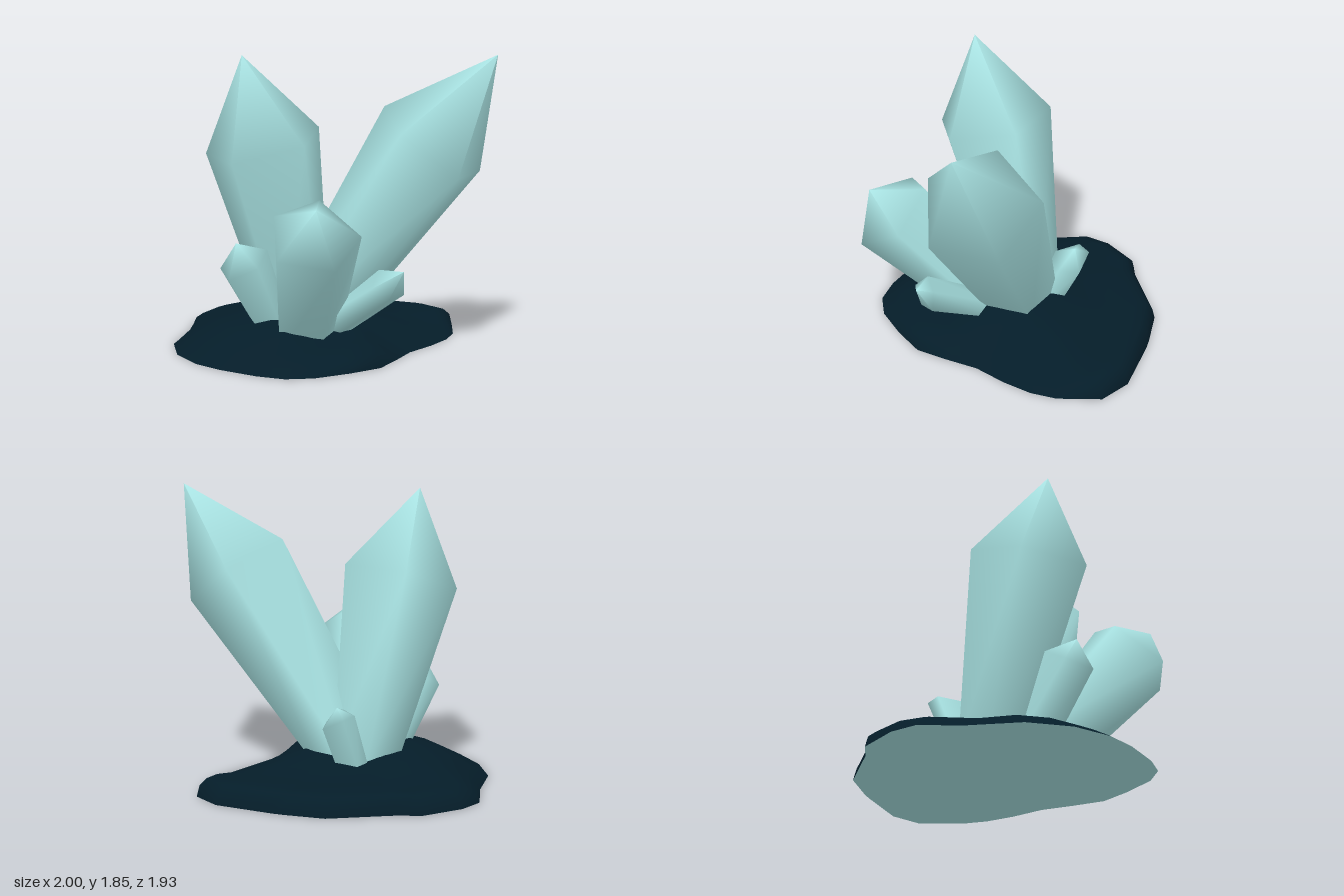
import * as THREE from 'three';

const { lerp, smoothstep } = THREE.MathUtils;

const crystalMat = new THREE.MeshStandardMaterial({ color: 0xa8e2e2 });
crystalMat.name = 'paleAquaCrystal';
const rockMat = new THREE.MeshStandardMaterial({ color: 0x051d29 });
rockMat.name = 'darkSlateRock';

// Smooth skin through stacked rings (lowest first), closed by a point on top.
// The point is repeated for each side; its normals are eased towards the axis.
function loft(name, rings, apex, material) {
  const n = rings[0].length, index = [];
  rings.forEach((ring, r) => {
    for (let i = 0; i < n; i++) {
      const a = r * n + i, b = r * n + (i + 1) % n;
      if (r < rings.length - 1) index.push(a, a + n, b, b, a + n, b + n);
      else index.push(a, a + n, b);
    }
  });
  const geo = new THREE.BufferGeometry();
  const points = [...rings.flat(), ...Array(n).fill(apex)].flat();
  geo.setAttribute('position', new THREE.Float32BufferAttribute(points, 3));
  geo.setIndex(index);
  geo.computeVertexNormals();

  const normals = geo.attributes.normal, first = rings.length * n;
  const facets = Array.from({ length: n }, (_, i) => new THREE.Vector3().fromBufferAttribute(normals, first + i));
  const mean = facets.reduce((sum, f) => sum.addScaledVector(f, 1 / n), new THREE.Vector3());
  facets.forEach((f, i) => {
    f.add(mean).normalize();
    normals.setXYZ(first + i, f.x, f.y, f.z);
  });

  const mesh = new THREE.Mesh(geo, material);
  mesh.name = name;
  return mesh;
}

// Five-sided crystal: the shoulder ring shrinks towards its buried root
function crystal({ name, tip, shoulder, root, taper }) {
  const mid = [0, 1, 2].map(k => shoulder.reduce((s, p) => s + p[k], 0) / shoulder.length);
  const base = shoulder.map(p => {
    const q = p.map((v, k) => root[k] + (v - mid[k]) * taper);
    q[1] = Math.max(q[1], 0.02);
    return q;
  });
  return loft(name, [base, shoulder], tip, crystalMat);
}

const crystals = [
  { name: 'tallCrystal', tip: [-0.13, 1.84, 0.55], root: [-0.14, 0.1, 0.07], taper: 0.55,
    shoulder: [[-0.43, 1.36, 0.17], [0, 1.38, 0.04], [0.25, 1.3, 0.38], [0, 1.2, 0.74], [-0.43, 1.22, 0.6]] },
  { name: 'leaningCrystal', tip: [1, 1.85, -0.5], root: [-0.07, 0.1, 0.08], taper: 0.66,
    shoulder: [[0.36, 1.52, -0.18], [0.39, 1.36, -0.6], [0.76, 1.12, -0.62], [0.95, 1.12, -0.22], [0.72, 1.38, 0.04]] },
  { name: 'mediumCrystal', tip: [0.68, 0.99, 0.67], root: [0.1, 0.1, 0.24], taper: 0.75,
    shoulder: [[0.32, 0.92, 0.68], [0.43, 1, 0.42], [0.72, 0.81, 0.35], [0.8, 0.65, 0.63], [0.55, 0.7, 0.86]] },
  { name: 'smallFrontCrystal', tip: [-0.04, 0.71, 0.68], root: [-0.06, 0.1, 0.35], taper: 0.65,
    shoulder: [[-0.16, 0.64, 0.53], [0.04, 0.66, 0.5], [0.12, 0.57, 0.64], [0, 0.5, 0.77], [-0.17, 0.54, 0.7]] },
  { name: 'smallSideCrystal', tip: [0.81, 0.58, 0.09], root: [0.13, 0.08, 0.15], taper: 0.8,
    shoulder: [[0.72, 0.55, 0.03], [0.74, 0.42, 0.02], [0.73, 0.4, 0.14], [0.69, 0.48, 0.24], [0.66, 0.58, 0.15]] },
  { name: 'smallBackCrystal', tip: [-0.26, 0.54, -0.24], root: [-0.22, 0.05, -0.05], taper: 0.88,
    shoulder: [[-0.36, 0.48, -0.27], [-0.22, 0.41, -0.32], [-0.13, 0.42, -0.22], [-0.19, 0.5, -0.13], [-0.36, 0.5, -0.18]] },
];

// Ground outline of the rock (x, z)
const outline = [
  [0, -0.97], [0.22, -0.96], [0.3, -0.88], [0.42, -0.76], [0.5, -0.61], [0.55, -0.42], [0.58, -0.2],
  [0.66, 0], [0.73, 0.2], [0.7, 0.42], [0.64, 0.65], [0.54, 0.79], [0.38, 0.87], [0.12, 0.94],
  [-0.09, 0.96], [-0.34, 0.91], [-0.58, 0.76], [-0.77, 0.5], [-0.97, 0.3], [-1, 0.13],
  [-0.95, -0.15], [-0.85, -0.26], [-0.63, -0.63], [-0.42, -0.77], [-0.35, -0.81],
];

// Rock section: scale, height where the rim is steep, height where it slopes gently
const section = [[1, 0, 0], [0.98, 0.07, 0.012], [0.93, 0.11, 0.04], [0.86, 0.127, 0.08],
  [0.7, 0.125, 0.16], [0.5, 0.14, 0.215], [0.25, 0.19, 0.21]];

function rock() {
  const rings = section.map(([s, steep, gentle]) => outline.map(([x, z]) => {
    // gentle at the front, a long low slope at the back left corner
    const front = smoothstep(z, -0.3, 0.85);
    const corner = smoothstep(x, 0.22, 0.42) * smoothstep(-z, -0.2, 0.05);
    const y = lerp(lerp(steep, gentle, front), 0.27 * (1 - s), corner);
    // both flanks stay below the middle hump
    const flank = Math.max(smoothstep(x * s, 0.1, 0.42), smoothstep(-x * s, 0.42, 0.66));
    return [x * s, Math.min(y, 0.23 - 0.115 * flank), z * s];
  }));
  return loft('rockBase', rings, [-0.02, 0.2, 0.02], rockMat);
}

export function createModel() {
  const group = new THREE.Group();
  group.name = 'crystalCluster';
  group.add(rock());
  // flat underside, ring reversed so that it faces down
  const floor = outline.map(([x, z]) => [x, 0, z]).reverse();
  group.add(loft('rockUnderside', [floor], [-0.1, 0, 0], crystalMat));
  crystals.forEach(c => group.add(crystal(c)));
  return group;
}
